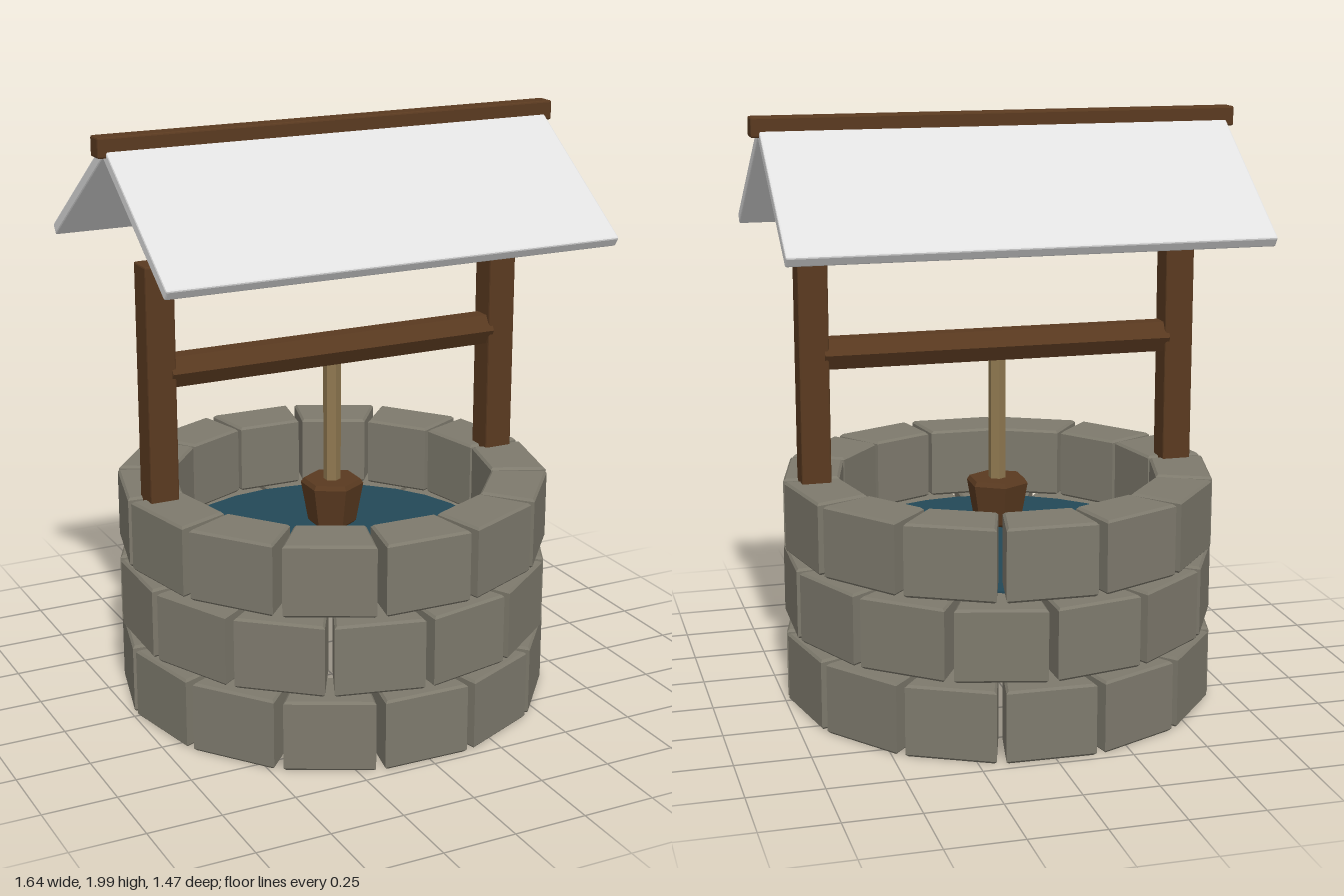
import * as THREE from 'three';
import { RoundedBoxGeometry } from 'three/addons/geometries/RoundedBoxGeometry.js';

function material(name, color) {
  const m = new THREE.MeshStandardMaterial({ color, flatShading: true });
  m.name = name;
  return m;
}

export function createModel() {
  const stone = material('stone', 0x7e7a6d);
  const wood = material('wood', 0x5a3a20);
  const roofing = material('pale roofing', 0xe0e0e0);
  const ropeTan = material('rope tan', 0x8f7850);
  const waterBlue = material('water blue', 0x234858);

  const well = new THREE.Group();
  well.name = 'well';

  const add = (name, geometry, mat, x = 0, y = 0, z = 0, parent = well) => {
    const mesh = new THREE.Mesh(geometry, mat);
    mesh.name = name;
    mesh.position.set(x, y, z);
    parent.add(mesh);
    return mesh;
  };
  const bevelBox = (w, h, d) => new RoundedBoxGeometry(w, h, d, 1, 0.006);

  // Wedge-shaped stone block with bevelled edges, its outer face towards +z
  const bevel = 0.008;
  const blockHeight = 0.243;
  const wedge = new THREE.Shape([
    new THREE.Vector2(-0.115, 0.535),
    new THREE.Vector2(0.115, 0.535),
    new THREE.Vector2(0.149, 0.722),
    new THREE.Vector2(-0.149, 0.722),
  ]);
  const block = new THREE.ExtrudeGeometry(wedge, {
    depth: blockHeight - 2 * bevel,
    bevelEnabled: true,
    bevelThickness: bevel,
    bevelSize: bevel,
    bevelOffset: -bevel,
    bevelSegments: 1,
  });
  block.rotateX(Math.PI / 2);
  block.translate(0, blockHeight - bevel, 0);

  // Three courses of stones, the middle one staggered by half a block
  const count = 14;
  const step = (Math.PI * 2) / count;
  for (let row = 0; row < 3; row++) {
    const course = new THREE.Group();
    course.name = 'stoneCourse' + (row + 1);
    course.position.y = 0.008 + row * 0.267;
    for (let i = 0; i < count; i++) {
      const b = add('stoneBlock', block, stone, 0, 0, 0, course);
      b.rotation.y = (i + (row % 2) * 0.5) * step - 0.022;
    }
    well.add(course);
  }

  // Water surface
  add('water', new THREE.CylinderGeometry(0.56, 0.56, 0.02, 28), waterBlue, 0, 0.514, 0);

  // Posts
  for (const side of [-1, 1]) {
    add(side > 0 ? 'leftPost' : 'rightPost', bevelBox(0.1, 1.435, 0.1), wood, side * 0.635, 0.8625, 0);
  }

  // Winding beam between the posts
  const beam = new THREE.CylinderGeometry(0.059, 0.059, 1.2, 6);
  beam.rotateZ(Math.PI / 2);
  add('windingBeam', beam, wood, 0, 1.217, 0);

  // Rope and bucket
  add('rope', new THREE.CylinderGeometry(0.03, 0.03, 0.5, 6), ropeTan, 0, 0.95, 0);
  const bucketProfile = [
    [0, 0], [0.075, 0], [0.083, 0.008], [0.108, 0.145], [0.098, 0.16], [0, 0.16],
  ].map(([r, y]) => new THREE.Vector2(r, y));
  add('bucket', new THREE.LatheGeometry(bucketProfile, 6), wood, 0, 0.59, 0);

  // Roof panels and ridge beam
  const slope = THREE.MathUtils.degToRad(35);
  for (const side of [-1, 1]) {
    const panel = add(side > 0 ? 'frontRoofPanel' : 'backRoofPanel',
      bevelBox(1.59, 0.04, 0.6), roofing, 0, 1.776, side * 0.253);
    panel.rotation.x = side * slope;
  }
  add('ridgeBeam', bevelBox(1.644, 0.066, 0.068), wood, 0, 1.967, 0);

  return well;
}
